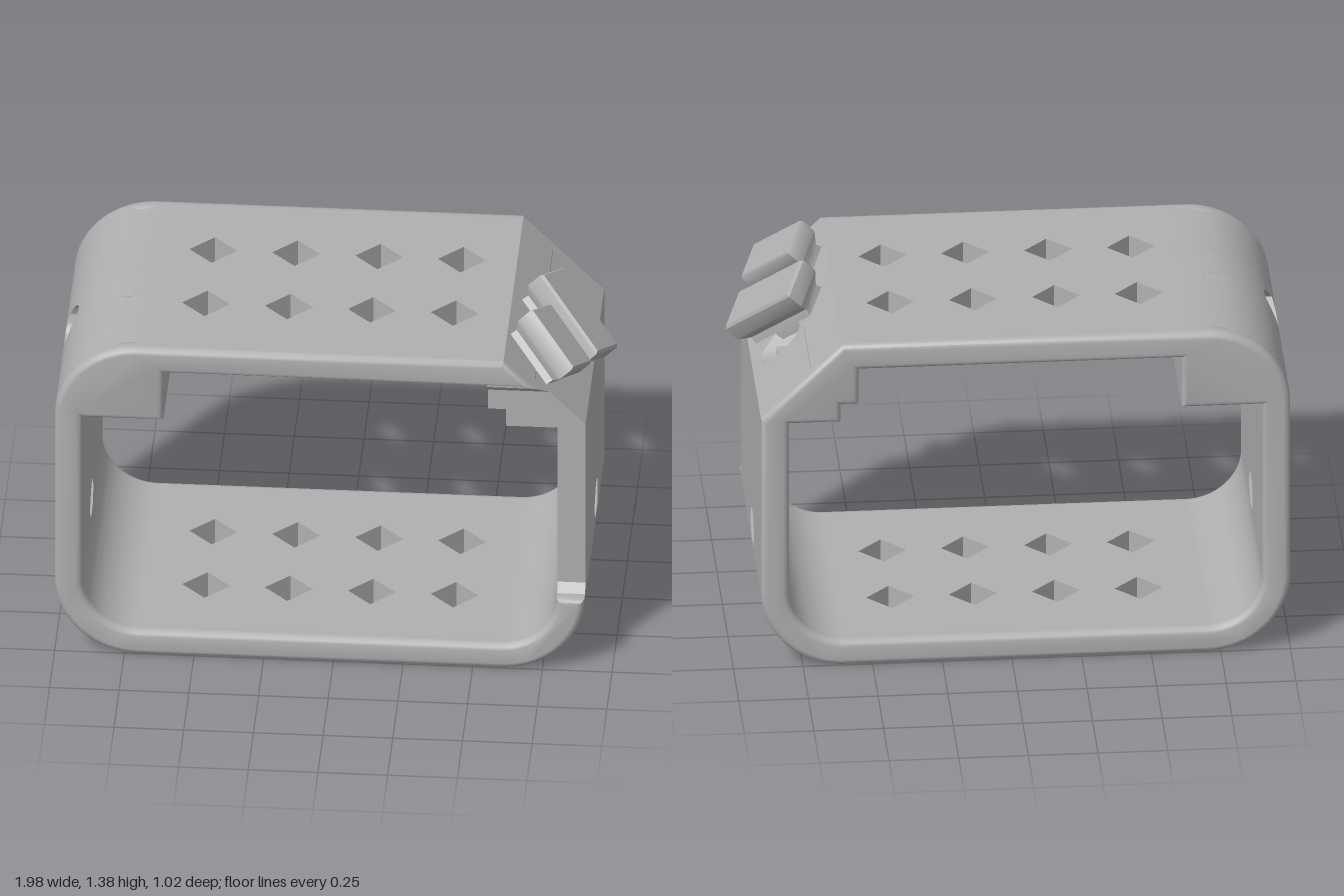
import * as THREE from 'three';
import { toCreasedNormals } from 'three/addons/utils/BufferGeometryUtils.js';

const PI = Math.PI;
const Z = 0.485; // half length of the core, the bevelled rims reach 0.51

export function createModel() {
  const model = new THREE.Group();
  const grey = new THREE.MeshStandardMaterial({ color: 0xb0b0b0 });
  grey.name = 'plain grey';

  const add = (name, geometry, parent = model) => {
    const mesh = new THREE.Mesh(toCreasedNormals(geometry, 0.6), grey);
    mesh.name = name;
    parent.add(mesh);
    return mesh;
  };

  const polygon = (points, Type = THREE.Shape) => new Type(points.map(([x, y]) => new THREE.Vector2(x, y)));
  const extrude = (shape, depth, options = {}) =>
    new THREE.ExtrudeGeometry(shape, { depth, bevelEnabled: false, curveSegments: 16, ...options });

  // Solid through sections; each is { z, rungs: [[xLeft, xRight, y], ...] } from bottom to top
  function loft(sections) {
    const pos = [];
    const quad = (a, b, c, d) => pos.push(...a, ...b, ...c, ...a, ...c, ...d);
    const rings = sections.map(({ z, rungs }) => [
      ...rungs.map(([, r, y]) => [r, y, z]),
      ...rungs.map(([l, , y]) => [l, y, z]).reverse(),
    ]);
    const n = rings[0].length;
    for (let i = 0; i + 1 < rings.length; i++) {
      for (let j = 0; j < n; j++) {
        const k = (j + 1) % n;
        quad(rings[i][j], rings[i][k], rings[i + 1][k], rings[i + 1][j]);
      }
    }
    const first = rings[0], last = rings[rings.length - 1];
    for (let j = 0; j + 1 < n / 2; j++) {
      quad(last[n - 1 - j], last[j], last[j + 1], last[n - 2 - j]);
      quad(first[n - 2 - j], first[j + 1], first[j], first[n - 1 - j]);
    }
    const g = new THREE.BufferGeometry();
    g.setAttribute('position', new THREE.Float32BufferAttribute(pos, 3));
    return g;
  }

  const section = (z, xL, xR, ya, yb, n = 20) => ({
    z,
    rungs: Array.from({ length: n + 1 }, (_, i) => {
      const y = ya + ((yb - ya) * i) / n;
      return [xL(y), xR(y), y];
    }),
  });

  // Half height of a teardrop whose tip points to +z
  const tear = (d, r) => (d < r * Math.SQRT1_2
    ? Math.sqrt(Math.max(0, r * r - d * d)) : Math.max(0, r * Math.SQRT2 - d));

  // Block along z with a teardrop bore running along x
  function piercedBlock(name, xL, xR, ya, yb, z1, { cy, cz, r }) {
    const group = new THREE.Group();
    group.name = name;
    const a = cz - r, b = cz + r * Math.SQRT2;
    add('backPart', loft([section(-Z, xL, xR, ya, yb), section(a, xL, xR, ya, yb)]), group);
    add('frontPart', loft([section(b, xL, xR, ya, yb), section(z1, xL, xR, ya, yb)]), group);
    const zs = Array.from({ length: 25 }, (_, i) => a + ((b - a) * i) / 24);
    add('aboveBore', loft(zs.map((z) => section(z, xL, xR, cy + tear(z - cz, r), yb))), group);
    add('belowBore', loft(zs.map((z) => section(z, xL, xR, ya, cy - tear(z - cz, r)))), group);
    model.add(group);
  }

  // Top and bottom panels with two rows of diamond openings
  function panel(name, x0, x1, top) {
    const shape = polygon([[x0, -Z], [x1, -Z], [x1, Z], [x0, Z]]);
    for (const x of [-0.48, -0.183, 0.115, 0.412]) {
      for (const z of [-0.18, 0.18]) {
        const h = 0.086;
        shape.holes.push(polygon([[x - h, z], [x, z + h], [x + h, z], [x, z - h]], THREE.Path));
      }
    }
    add(name, extrude(shape, 0.1).rotateX(PI / 2).translate(0, top, 0));
  }
  panel('topPanel', -0.61, 0.55, 1.3);
  panel('bottomPanel', -0.7, 0.6, 0.11);

  // Side walls, outlined as (z, y), each with a teardrop hole
  function wall(name, x, outline, cz) {
    const shape = polygon(outline.map(([z, y]) => [-z, y]));
    const r = 0.07, points = [[-cz - r * Math.SQRT2, 0.37]];
    for (let i = 0; i <= 24; i++) {
      const t = PI * 0.75 - (i / 24) * PI * 1.5;
      points.push([-cz + r * Math.cos(t), 0.37 + r * Math.sin(t)]);
    }
    shape.holes.push(polygon(points, THREE.Path));
    add(name, extrude(shape, 0.1).rotateY(PI / 2).translate(x, 0, 0));
  }
  wall('plainWall', -1, [[-Z, 0.31], [Z, 0.31], [Z, 1], [-Z, 1]], 0.04);
  wall('clipWall', 0.8, [[-Z, 0.31], [0.46, 0.31], [0.43, 0.34], [0.43, 1.01], [-Z, 1.01]], -0.095);

  // Rounded bottom corners
  for (const [name, x, a] of [['plainSideCorner', -0.7, PI], ['clipSideCorner', 0.6, PI * 1.5]]) {
    const shape = new THREE.Shape();
    shape.absarc(x, 0.31, 0.3, a, a + PI / 2, false);
    shape.absarc(x, 0.31, 0.2, a + PI / 2, a, true);
    add(name, extrude(shape, 2 * Z).translate(0, 0, -Z));
  }

  // Rounded top corner filled by a block
  piercedBlock('cornerBlock', (y) => -0.7 - Math.sqrt(Math.max(0, 0.09 - (y - 1) ** 2)),
    () => -0.61, 1, 1.3, Z, { cy: 1.1, cz: 0.04, r: 0.07 });

  // Chamfered top corner: narrow bore inside, wide recess outside
  const chamfer = (y) => Math.min(0.9, 1.91 - y);
  const innerFace = (y) => Math.min(0.72, chamfer(y));
  piercedBlock('chamferInner', () => 0.55, innerFace, 1.06, 1.3, 0.43, { cy: 1.11, cz: -0.095, r: 0.036 });
  piercedBlock('chamferOuter', () => 0.72, chamfer, 1.01, 1.19, 0.43, { cy: 1.11, cz: -0.095, r: 0.07 });
  add('chamferFront', loft([section(0.43, () => 0.55, chamfer, 1.14, 1.3),
    section(Z, () => 0.55, chamfer, 1.185, 1.3)]));
  add('innerStep', new THREE.BoxGeometry(0.195, 0.075, 0.43 + Z).translate(0.7125, 1.0275, (0.43 - Z) / 2));

  // Bevelled end rims
  const rim = (name, shape, z) => add(name, extrude(shape, 0.02, {
    bevelEnabled: true, bevelSize: 0.022, bevelOffset: -0.022, bevelThickness: 0.025, bevelSegments: 3,
  }).translate(0, 0, z));

  const back = new THREE.Shape();
  back.moveTo(0, 0.01);
  back.absarc(0.6, 0.31, 0.3, -PI / 2, 0, false);
  back.lineTo(0.9, 1.01);
  back.lineTo(0.61, 1.3);
  back.absarc(-0.7, 1, 0.3, PI / 2, PI, false);
  back.absarc(-0.7, 0.31, 0.3, PI, PI * 1.5, false);
  const opening = new THREE.Path();
  opening.moveTo(0, 0.11);
  opening.absarc(0.6, 0.31, 0.2, -PI / 2, 0, false);
  for (const [x, y] of [[0.8, 0.99], [0.615, 0.99], [0.615, 1.06], [0.55, 1.06], [0.55, 1.2],
    [-0.61, 1.2], [-0.61, 1], [-0.9, 1]]) opening.lineTo(x, y);
  opening.absarc(-0.7, 0.31, 0.2, PI, PI * 1.5, false);
  back.holes.push(opening);
  rim('backRim', back, -Z);

  // The front rim is open along the clip wall
  const front = new THREE.Shape();
  front.moveTo(0.71, 1.2);
  front.lineTo(0.61, 1.3);
  front.absarc(-0.7, 1, 0.3, PI / 2, PI, false);
  front.absarc(-0.7, 0.31, 0.3, PI, PI * 1.5, false);
  front.absarc(0.6, 0.31, 0.3, -PI / 2, 0, false);
  front.absarc(0.6, 0.31, 0.2, 0, -PI / 2, true);
  front.absarc(-0.7, 0.31, 0.2, PI * 1.5, PI, true);
  for (const [x, y] of [[-0.9, 1], [-0.61, 1], [-0.61, 1.2]]) front.lineTo(x, y);
  rim('frontRim', front, 0.465);

  // Slanted clips on the chamfer: a waisted neck under a flat head
  const down = new THREE.Vector3(1, -1, 0).normalize();
  const out = new THREE.Vector3(1, 1, 0).normalize();
  function clip(name, u, z, length, width) {
    const levels = [[-0.03, 0.86, 0.9], [0.0, 0.86, 0.8], [0.025, 0.86, 0.66], [0.055, 0.97, 0.95],
      [0.065, 1, 1], [0.122, 1, 1], [0.132, 0.95, 0.92]];
    const mesh = add(name, loft(levels.map(([n, a, b]) => {
      const x = (length / 2) * a, y = (width / 2) * b;
      return { z: n, rungs: [[-x, x, -y], [-x, x, y]] };
    })));
    const along = down.clone().multiplyScalar(Math.cos(PI / 6)).add(new THREE.Vector3(0, 0, 0.5));
    const across = out.clone().cross(along);
    mesh.quaternion.setFromRotationMatrix(new THREE.Matrix4().makeBasis(along, across, out));
    mesh.position.copy(down).multiplyScalar(u).addScaledVector(out, 1.35);
    mesh.position.z = z;
  }
  clip('rearClip', -0.276, 0.034, 0.35, 0.18);
  clip('frontClip', -0.343, 0.288, 0.26, 0.165);

  return model;
}
